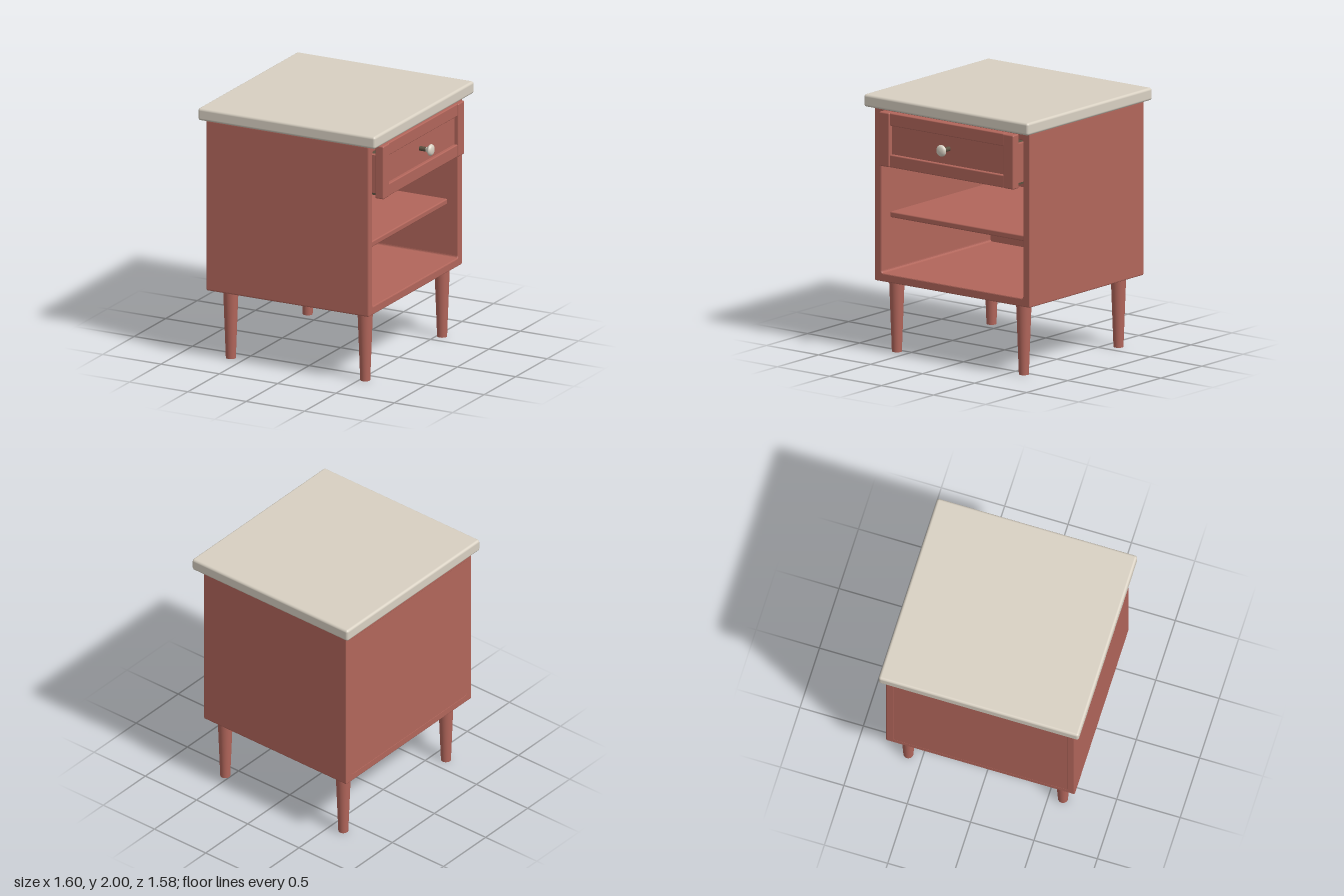
import * as THREE from 'three';
import { RoundedBoxGeometry } from 'three/addons/geometries/RoundedBoxGeometry.js';

const mat = (name, color) => {
  const m = new THREE.MeshStandardMaterial({ color });
  m.name = name;
  return m;
};

export function createModel() {
  const red = mat('brickRedPaint', 0xb2665b);
  const cream = mat('cream', 0xd8d0c2);
  const brown = mat('darkBrown', 0x5c5140);

  const group = new THREE.Group();
  group.name = 'bedsideCabinet';

  const add = (parent, name, geometry, material, x = 0, y = 0, z = 0) => {
    const mesh = new THREE.Mesh(geometry, material);
    mesh.name = name;
    mesh.position.set(x, y, z);
    parent.add(mesh);
    return mesh;
  };
  // Box given by its limits, with optional rounded edges
  const box = (parent, name, material, [x0, x1], [y0, y1], [z0, z1], r = 0) => {
    const size = [x1 - x0, y1 - y0, z1 - z0];
    const geometry = r ? new RoundedBoxGeometry(...size, 3, r) : new THREE.BoxGeometry(...size);
    return add(parent, name, geometry, material, (x0 + x1) / 2, (y0 + y1) / 2, (z0 + z1) / 2);
  };
  // Rounded rectangle outline, centred on the first axis
  const roundedRect = (path, w, y0, y1, r) => {
    path.moveTo(-w + r, y0);
    path.lineTo(w - r, y0);
    path.quadraticCurveTo(w, y0, w, y0 + r);
    path.lineTo(w, y1 - r);
    path.quadraticCurveTo(w, y1, w - r, y1);
    path.lineTo(-w + r, y1);
    path.quadraticCurveTo(-w, y1, -w, y1 - r);
    path.lineTo(-w, y0 + r);
    path.quadraticCurveTo(-w, y0, -w + r, y0);
    return path;
  };

  // Carcass: hollow sleeve open towards +x, closed by a back panel
  const outline = roundedRect(new THREE.Shape(), 0.745, 0.55, 1.9, 0.012);
  outline.holes.push(roundedRect(new THREE.Path(), 0.68, 0.615, 1.84, 0.018));
  const bevel = 0.008;
  const sleeve = new THREE.ExtrudeGeometry(outline, {
    depth: 1.39 - 2 * bevel, bevelEnabled: true, bevelSize: bevel, bevelOffset: -bevel,
    bevelThickness: bevel, bevelSegments: 2, curveSegments: 4,
  });
  sleeve.rotateY(Math.PI / 2);
  add(group, 'carcass', sleeve, red, -0.75 + bevel);
  box(group, 'backPanel', red, [-0.749, -0.69], [0.605, 1.85], [-0.69, 0.69]);

  // Overhanging top
  box(group, 'top', cream, [-0.8, 0.72], [1.903, 2], [-0.79, 0.79], 0.02);
  box(group, 'topSpacer', red, [-0.73, 0.62], [1.89, 1.91], [-0.72, 0.72]);

  // Shelf
  box(group, 'shelf', red, [-0.7, 0.56], [1.035, 1.08], [-0.66, 0.66], 0.01);

  // Tapered legs
  const legGeometry = new THREE.CylinderGeometry(0.059, 0.038, 0.56, 32);
  for (const x of [-0.612, 0.54]) {
    for (const z of [-0.61, 0.61]) add(group, 'leg', legGeometry, red, x, 0.28, z);
  }

  // Drawer: framed front, open box behind it and a knob
  const drawer = new THREE.Group();
  drawer.name = 'drawer';
  group.add(drawer);
  for (const s of [-1, 1]) {
    const span = (a, b) => (s > 0 ? [a, b] : [-b, -a]);
    box(drawer, 'drawerStile', red, [0.642, 0.715], [1.465, 1.885], span(0.547, 0.645), 0.01);
    box(drawer, 'drawerSide', red, [-0.6, 0.65], [1.49, 1.79], span(0.565, 0.6));
  }
  box(drawer, 'drawerTopRail', red, [0.642, 0.707], [1.787, 1.885], [-0.55, 0.55], 0.008);
  box(drawer, 'drawerBottomRail', red, [0.642, 0.707], [1.465, 1.562], [-0.55, 0.55], 0.008);
  box(drawer, 'drawerPanel', red, [0.645, 0.68], [1.55, 1.8], [-0.555, 0.555]);
  box(drawer, 'drawerBack', red, [-0.6, -0.565], [1.49, 1.79], [-0.565, 0.565]);
  box(drawer, 'drawerBottom', brown, [-0.6, 0.645], [1.475, 1.49], [-0.6, 0.6]);

  // Knob: slim stem and flared head, turned about the x axis
  const stem = new THREE.CylinderGeometry(0.018, 0.018, 0.08, 24).rotateZ(-Math.PI / 2);
  add(drawer, 'knobStem', stem, brown, 0.715, 1.685, 0);
  const profile = new THREE.SplineCurve([
    [0.018, 0.735], [0.022, 0.745], [0.034, 0.757], [0.044, 0.768],
    [0.044, 0.777], [0.034, 0.788], [0.018, 0.793], [0, 0.795],
  ].map(([r, h]) => new THREE.Vector2(r, h))).getPoints(24);
  profile.forEach((p) => { p.x = Math.max(p.x, 0); });
  const head = new THREE.LatheGeometry(profile, 32).rotateZ(-Math.PI / 2);
  add(drawer, 'knobHead', head, cream, 0, 1.685, 0);

  return group;
}
